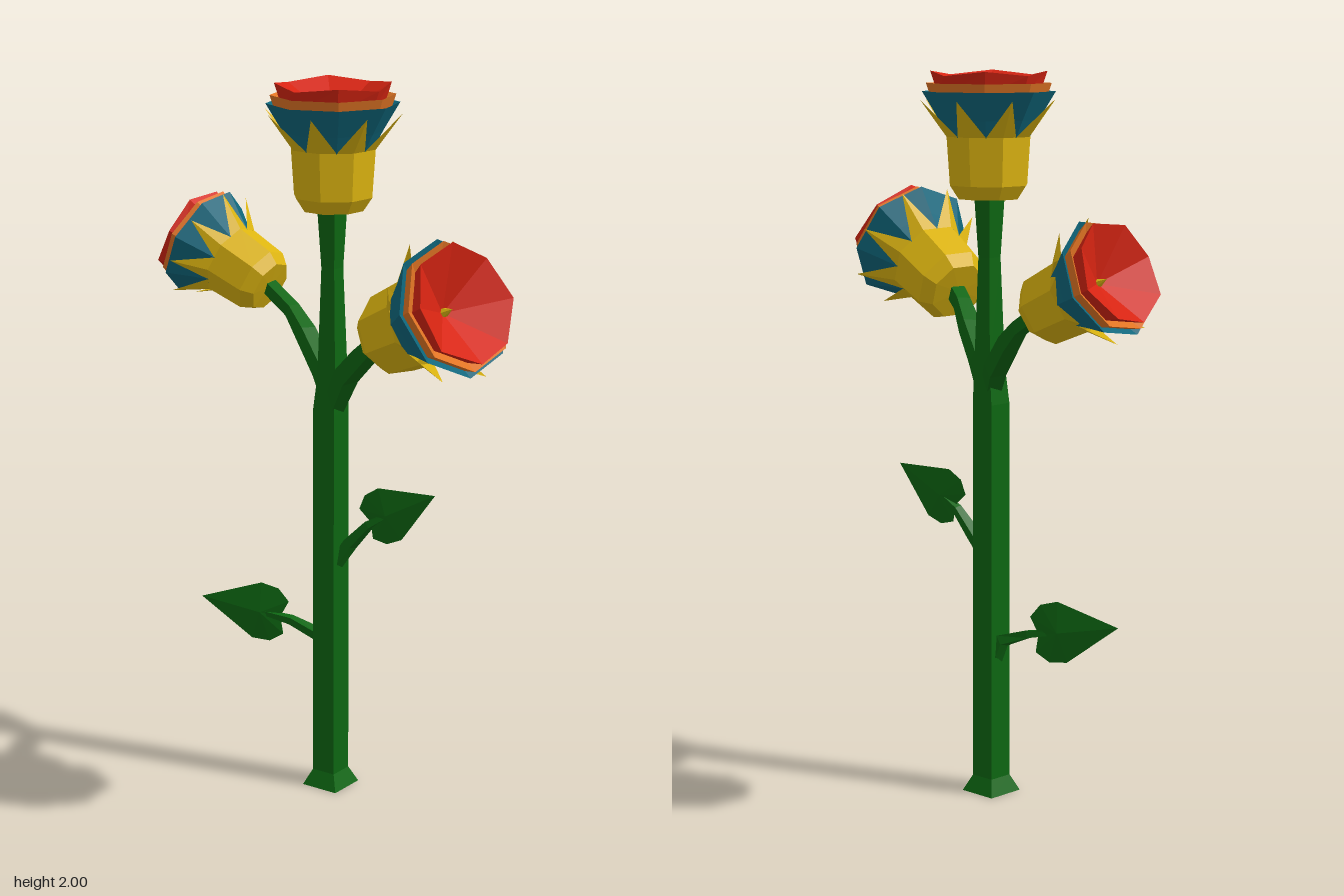
import * as THREE from 'three';

const V = (x, y, z) => new THREE.Vector3(x, y, z);
const RAD = Math.PI / 180;

// Flat-shaded geometry from a list of corner triples
function facets(points) {
  const g = new THREE.BufferGeometry().setFromPoints(points);
  g.computeVertexNormals();
  return g;
}

// Quads between successive rings, plus end fans when the ends are closed
function skin(rings, startCap, endCap) {
  const out = [];
  const n = rings[0].length;
  for (let k = 0; k < rings.length - 1; k++) {
    for (let i = 0; i < n; i++) {
      const j = (i + 1) % n;
      const [a, b, c, d] = [rings[k][i], rings[k][j], rings[k + 1][j], rings[k + 1][i]];
      out.push(a, b, c, a, c, d);
    }
  }
  const last = rings[rings.length - 1];
  for (let i = 0; i < n; i++) {
    const j = (i + 1) % n;
    if (startCap) out.push(startCap, rings[0][j], rings[0][i]);
    if (endCap) out.push(endCap, last[i], last[j]);
  }
  return out;
}

// Square-section stalk along a path of [x, y, z, radius]
function stalk(path, phase = 45) {
  const pts = path.map(p => V(p[0], p[1], p[2]));
  const rings = pts.map((p, k) => {
    const t = pts[Math.min(k + 1, pts.length - 1)].clone().sub(pts[Math.max(k - 1, 0)]).normalize();
    const s = V(0, 0, 1).cross(t).normalize();
    const u = t.clone().cross(s);
    return [0, 1, 2, 3].map(i => {
      const a = phase * RAD + i * Math.PI / 2;
      return p.clone().addScaledVector(s, path[k][3] * Math.cos(a)).addScaledVector(u, path[k][3] * Math.sin(a));
    });
  });
  return facets(skin(rings, pts[0], pts[pts.length - 1]));
}

// Point at radius r, height y, angle in degrees around the y axis
const polar = (r, y, deg) => V(r * Math.cos(deg * RAD), y, -r * Math.sin(deg * RAD));

// Eight-cornered ring; wave raises every second corner
const ring8 = (r, y, phase, wave = 0) =>
  Array.from({ length: 8 }, (_, i) => polar(r, y + (i % 2 ? wave : 0), phase + i * 45));

// Pointed leaf with a raised midrib, from notch to tip in a vertical plane
function leaf(notch, tip) {
  const d = tip.clone().sub(notch);
  const len = d.length();
  d.normalize();
  const b = V(0, 1, 0).addScaledVector(d, -d.y).normalize();
  const n = d.clone().cross(b);
  const at = (x, y, z) => notch.clone().addScaledVector(d, x * len).addScaledVector(b, y * len).addScaledVector(n, z * len);
  const half = [[0, 0], [-0.07, 0.21], [0.08, 0.34], [0.3, 0.36], [1, 0]];
  const out = [];
  for (const side of [1, -1]) {
    for (const face of [1, -1]) {
      const rib = at(0.25, 0, 0.05 * face);
      for (let i = 0; i < half.length - 1; i++) {
        const p = at(half[i][0], half[i][1] * side, 0);
        const q = at(half[i + 1][0], half[i + 1][1] * side, 0);
        if (side * face > 0) out.push(rib, q, p);
        else out.push(rib, p, q);
      }
    }
  }
  return facets(out);
}

export function createModel() {
  const root = new THREE.Group();
  root.name = 'flowerPlant';
  const mat = (name, color, side = THREE.FrontSide) => {
    const m = new THREE.MeshStandardMaterial({ color, side });
    m.name = name;
    return m;
  };
  const green = mat('stem green', 0x0d6612);
  const yellow = mat('calyx yellow', 0xdcb410, THREE.DoubleSide);
  const blue = mat('petal blue', 0x0f677c, THREE.DoubleSide);
  const orange = mat('petal orange', 0xe07424, THREE.DoubleSide);
  const red = mat('petal red', 0xd62412, THREE.DoubleSide);

  const add = (parent, name, geometry, material) => {
    const m = new THREE.Mesh(geometry, material);
    m.name = name;
    parent.add(m);
    return m;
  };

  // Main stem with flared foot
  add(root, 'stem', stalk([
    [-0.01, 0, -0.02, 0.08], [-0.01, 0.045, -0.02, 0.051], [-0.01, 1.1, -0.02, 0.05],
    [-0.005, 1.2, -0.022, 0.042], [-0.01, 1.5, -0.025, 0.03], [-0.012, 1.68, -0.026, 0.042],
  ], 62), green);

  // Side branches
  add(root, 'leftBranch', stalk([
    [-0.005, 1.1, -0.02, 0.03], [0.07, 1.215, -0.01, 0.036], [0.17, 1.29, 0.01, 0.034],
    [0.25, 1.345, 0.03, 0.028], [0.34, 1.39, 0.045, 0.03],
  ]), green);
  add(root, 'rightBranch', stalk([
    [-0.005, 1.13, -0.02, 0.03], [-0.06, 1.2, -0.035, 0.034], [-0.17, 1.285, -0.055, 0.032],
    [-0.25, 1.335, -0.068, 0.025], [-0.38, 1.4, -0.062, 0.025],
  ]), green);

  // Leaves and their stalks
  add(root, 'upperLeafStalk', stalk([
    [0.01, 0.66, -0.02, 0.02], [0.045, 0.725, -0.045, 0.021], [0.1, 0.79, -0.068, 0.015], [0.17, 0.838, -0.1, 0.007],
  ]), green);
  add(root, 'upperLeaf', leaf(V(0.105, 0.8, -0.07), V(0.278, 0.9, -0.155)), green);
  add(root, 'lowerLeafStalk', stalk([
    [-0.025, 0.37, -0.02, 0.02], [-0.055, 0.44, -0.01, 0.021], [-0.13, 0.47, 0.03, 0.015], [-0.22, 0.487, 0.09, 0.007],
  ]), green);
  add(root, 'lowerLeaf', leaf(V(-0.16, 0.475, 0.045), V(-0.347, 0.515, 0.185)), green);

  // One bloom, standing on its base along +y; spikes sit between the cup corners
  function bloom(name, base, axis, scale, spin) {
    const g = new THREE.Group();
    g.name = name;
    const mid = spin + 22.5;

    const calyx = skin([ring8(0.085, 0.003, spin), ring8(0.11, 0.04, spin), ring8(0.119, 0.17, spin)], V(0, 0, 0));
    for (let i = 0; i < 8; i++) {
      const a = spin + i * 45;
      const corner = polar(0.119, 0.17, a);
      const tip = polar(0.192, 0.268, a);
      calyx.push(polar(0.11, 0.17, a - 22.5), corner, tip, corner, polar(0.11, 0.17, a + 22.5), tip);
    }
    add(g, 'calyx', facets(calyx), yellow);

    add(g, 'outerPetals', facets(skin([
      ring8(0.1, 0.15, mid), ring8(0.135, 0.215, mid), ring8(0.18, 0.29, mid), ring8(0.155, 0.275, mid),
    ])), blue);
    add(g, 'middlePetals', facets(skin([
      ring8(0.155, 0.27, mid), ring8(0.169, 0.312, mid), ring8(0.14, 0.292, mid),
    ])), orange);
    add(g, 'innerPetals', facets(skin([
      ring8(0.138, 0.285, mid), ring8(0.157, 0.332, mid, 0.012),
    ], null, V(0, 0.245, 0))), red);
    const stamen = add(g, 'stamen', new THREE.ConeGeometry(0.018, 0.045, 6).toNonIndexed(), yellow);
    stamen.geometry.computeVertexNormals();
    stamen.position.y = 0.262;

    g.position.copy(base);
    g.quaternion.setFromUnitVectors(V(0, 1, 0), axis.normalize());
    g.scale.setScalar(scale);
    root.add(g);
  }
  bloom('topBloom', V(-0.01, 1.655, -0.027), V(0, 1, 0), 1, -10);
  bloom('leftBloom', V(0.298, 1.372, 0.047), V(1, 0.46, -0.06), 1.01, 22.5);
  bloom('rightBloom', V(-0.35, 1.385, -0.067), V(-1, 0.48, 0.33), 0.89, 10);

  return root;
}
